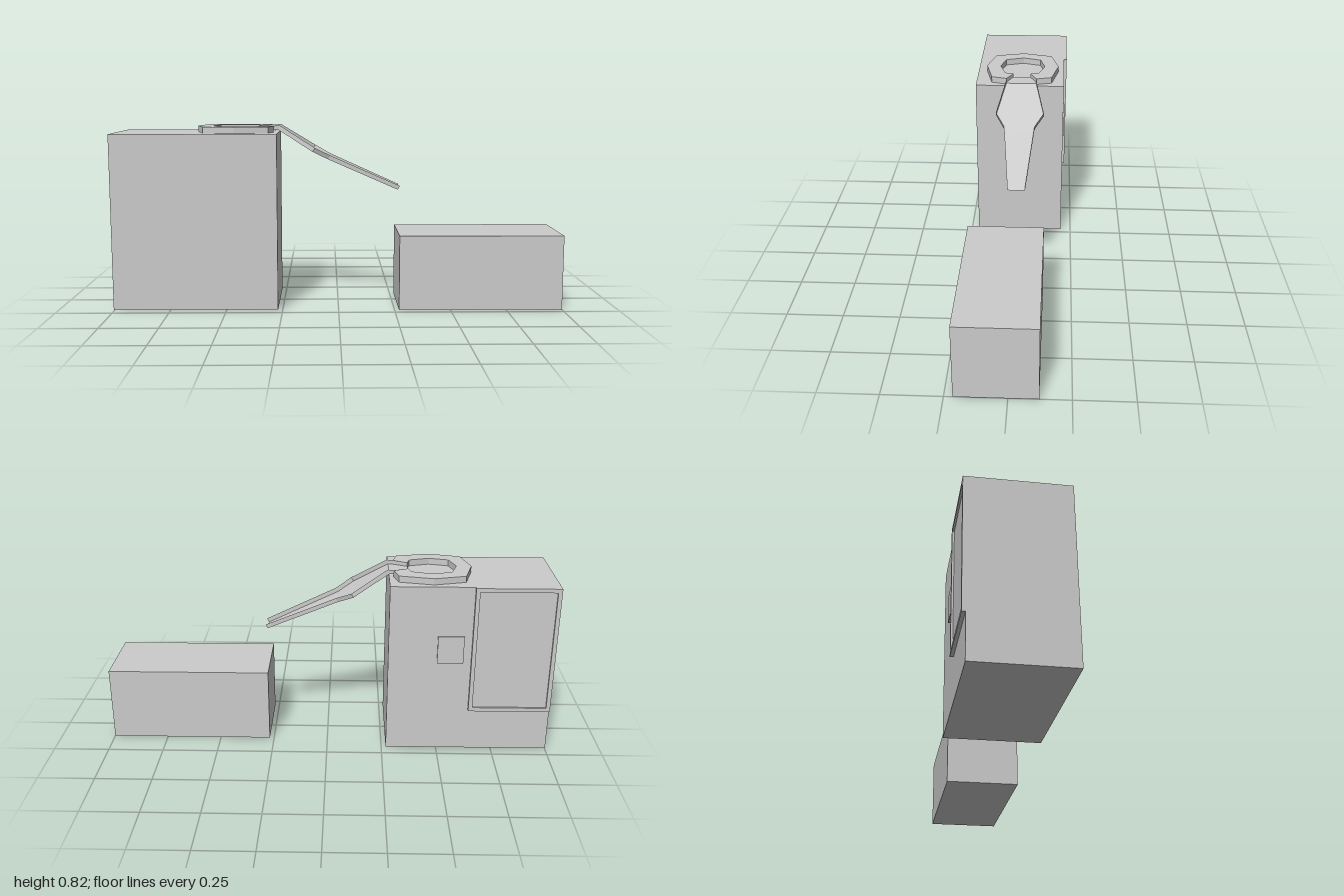
import * as THREE from 'three';

const material = new THREE.MeshStandardMaterial({ color: 0xcccccc, flatShading: true, side: THREE.DoubleSide });

function add(group, name, geometry) {
  const mesh = new THREE.Mesh(geometry, material);
  mesh.name = name;
  group.add(mesh);
  return mesh;
}

// Box given by its minimum and maximum corners
function boxBetween(a, b) {
  const g = new THREE.BoxGeometry(b[0] - a[0], b[1] - a[1], b[2] - a[2]);
  return g.translate((a[0] + b[0]) / 2, (a[1] + b[1]) / 2, (a[2] + b[2]) / 2);
}

// Rectangular frame in the xy plane, extruded from z0 to z1
function frameBetween(x0, y0, x1, y1, border, z0, z1) {
  const rect = (l, b, r, t) => [[l, b], [r, b], [r, t], [l, t]].map(p => new THREE.Vector2(...p));
  const shape = new THREE.Shape(rect(x0, y0, x1, y1));
  shape.holes.push(new THREE.Path(rect(x0 + border, y0 + border, x1 - border, y1 - border).reverse()));
  return new THREE.ExtrudeGeometry(shape, { depth: z1 - z0, bevelEnabled: false }).translate(0, 0, z0);
}

// Open-ended octagonal collar, mirrored across z = 0
function collarGeometry(bottom, top) {
  const outer = [[-0.29, 0.07], [-0.31, 0.142], [-0.46, 0.174], [-0.6, 0.138], [-0.637, 0]];
  const inner = [[-0.355, 0.04], [-0.365, 0.08], [-0.455, 0.107], [-0.543, 0.085], [-0.57, 0]];
  const mirror = half => half.slice(0, -1).reverse().map(([x, z]) => [x, -z]);
  const outline = [...outer, ...mirror(outer), ...[...inner, ...mirror(inner)].reverse()];
  const shape = new THREE.Shape(outline.map(([x, z]) => new THREE.Vector2(x, -z)));
  const g = new THREE.ExtrudeGeometry(shape, { depth: top - bottom, bevelEnabled: false });
  return g.rotateX(-Math.PI / 2).translate(0, bottom, 0);
}

// Thin tray: each station gives x, floor height, half width and rim offset
function chuteGeometry() {
  const stations = [
    [-0.355, 0.796, 0.04, 0, 0.017],
    [-0.29, 0.796, 0.07, 0, 0.018],
    [-0.27, 0.797, 0.07, 0.006, 0.02],
    [-0.115, 0.7, 0.11, 0.01, 0.018],
    [-0.045, 0.663, 0.069, 0.009, 0.018],
    [0.274, 0.521, 0.038, 0.008, 0.018],
  ];
  const positions = [], index = [];
  stations.forEach(([x, y, w, dx, dy], i) => {
    positions.push(x + dx, y + dy, w, x, y, w, x, y, -w, x + dx, y + dy, -w);
    if (i === 0) return;
    for (let j = 0; j < 3; j++) {
      const a = (i - 1) * 4 + j, b = i * 4 + j;
      index.push(a, b, a + 1, a + 1, b, b + 1);
    }
  });
  const g = new THREE.BufferGeometry();
  g.setAttribute('position', new THREE.Float32BufferAttribute(positions, 3));
  // Wind the floor upwards
  for (let k = 0; k < index.length; k += 3) [index[k + 1], index[k + 2]] = [index[k + 2], index[k + 1]];
  g.setIndex(index);
  const flat = g.toNonIndexed();
  flat.computeVertexNormals();
  const n = flat.attributes.normal;
  if (n.getY(6) < 0) {
    g.setIndex(index.reverse());
    const flipped = g.toNonIndexed();
    flipped.computeVertexNormals();
    return flipped;
  }
  return flat;
}

export function createModel() {
  const model = new THREE.Group();
  model.name = 'cabinetWithChute';

  // Tall cabinet and separate low box
  add(model, 'cabinet', boxBetween([-1, 0.005, -0.2], [-0.27, 0.785, 0.215]));
  add(model, 'lowBox', boxBetween([0.27, 0, -0.122], [1, 0.335, 0.215]));

  // Framed door and small plate on the back
  const back = new THREE.Group();
  back.name = 'backFittings';
  add(back, 'doorFrame', frameBetween(-1, 0.2, -0.635, 0.785, 0.018, -0.215, -0.2));
  add(back, 'doorPanel', boxBetween([-0.982, 0.218, -0.206], [-0.653, 0.767, -0.2]));
  add(back, 'smallPlate', boxBetween([-0.6, 0.43, -0.208], [-0.485, 0.558, -0.2]));
  model.add(back);

  // Hopper collar on top with the chute leading out of its opening
  add(model, 'collar', collarGeometry(0.785, 0.813));
  add(model, 'chute', chuteGeometry());
  return model;
}
